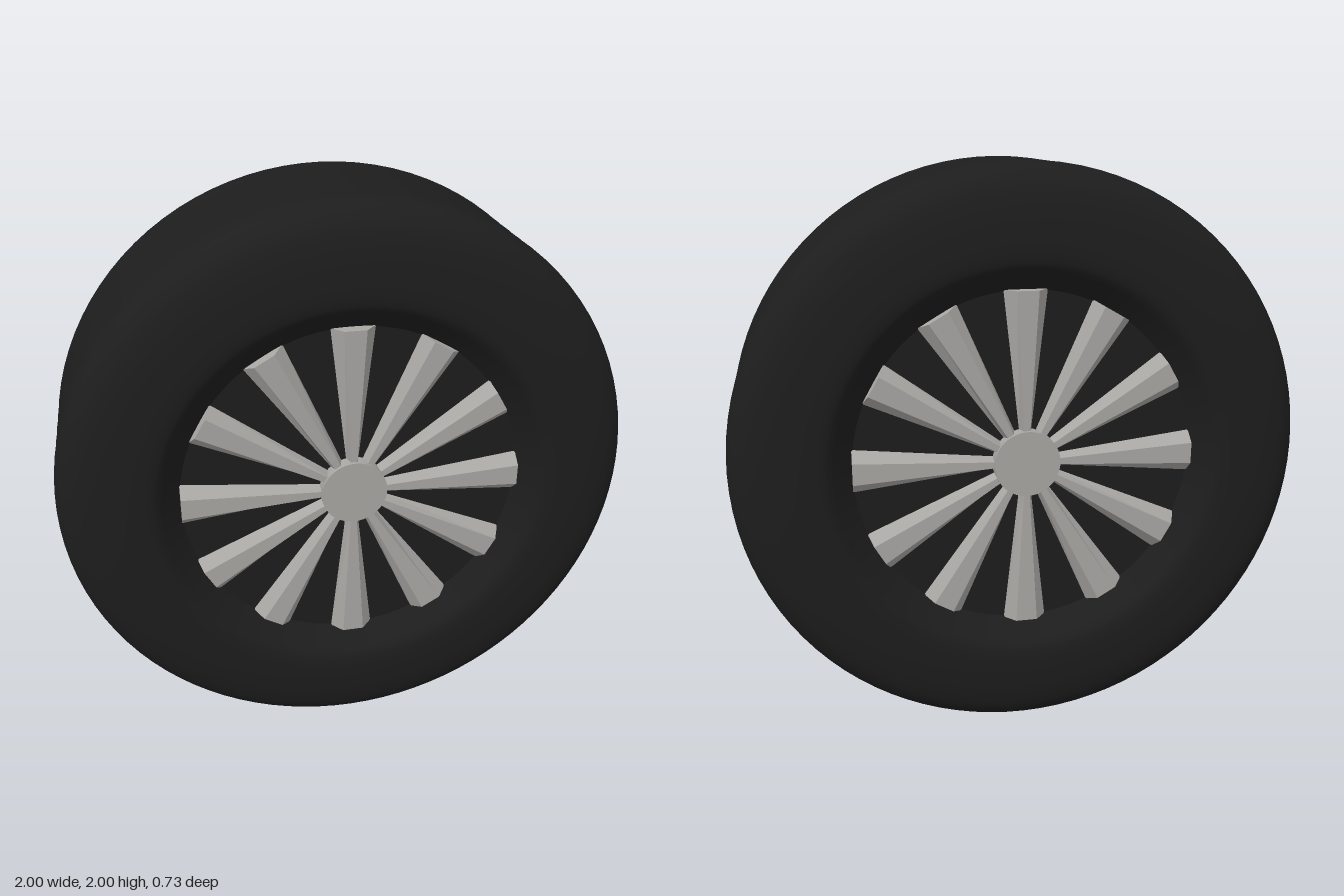
import * as THREE from 'three';

const rubber = new THREE.MeshStandardMaterial({ color: 0x1d1d1d });
rubber.name = 'black rubber';
const metal = new THREE.MeshStandardMaterial({ color: 0xa9a7a4, flatShading: true });
metal.name = 'grey metal';

const SPOKES = 12;
const SEGMENTS = 96;
const LIP_Z = 0.345; // where the tyre meets the rim
const DISC_Z = 0.28; // plane of the dark disc behind the spokes

function add(parent, name, geometry, material) {
  const mesh = new THREE.Mesh(geometry, material);
  mesh.name = name;
  parent.add(mesh);
  return mesh;
}

// Lathe around the z axis; points run from low z to high z on outer surfaces
function latheZ(points) {
  return new THREE.LatheGeometry(points, SEGMENTS).rotateX(Math.PI / 2);
}

// Tyre: rounded sidewalls and a tread with four shallow, softly shaded grooves
function tyreGeometry() {
  const half = [
    [0.66, LIP_Z], [0.685, 0.36], [0.73, 0.366], [0.8, 0.363], [0.87, 0.354], [0.93, 0.336],
    [0.97, 0.307], [0.99, 0.277], [1, 0.235], [1, 0.18], [1, 0.12], [1, 0.06],
  ];
  const section = [...half.map(([r, z]) => [r, -z]), [1, 0], ...[...half].reverse()];
  const curve = new THREE.SplineCurve(section.map(([r, z]) => new THREE.Vector2(r, z)));
  const geometry = latheZ(curve.getPoints(144));

  const pos = geometry.attributes.position;
  for (let i = 0; i < pos.count; i++) {
    const z = pos.getZ(i);
    if (Math.abs(z) > 0.22) continue;
    const k = 1 - 0.009 * Math.sin((Math.PI * z) / 0.11) ** 2;
    pos.setXY(i, pos.getX(i) * k, pos.getY(i) * k);
  }
  return geometry;
}

// Six-sided bar, wide at the rim and narrow at the hub, with a nearly level front
function spokeGeometry() {
  const geometry = new THREE.CylinderGeometry(0.075, 0.02, 0.492, 6).rotateY(Math.PI / 6);
  const pos = geometry.attributes.position;
  for (let i = 0; i < pos.count; i++) {
    const z = pos.getZ(i);
    const depth = pos.getY(i) > 0 ? 0.042 : 0.036;
    pos.setZ(i, Math.abs(z) < 0.001 ? 0 : Math.sign(z) * depth);
  }
  return geometry.translate(0, 0.346, DISC_Z);
}

// One face of the wheel, looking along +z
function wheelFace(name) {
  const face = new THREE.Group();
  face.name = name;

  const wall = [new THREE.Vector2(0.66, LIP_Z), new THREE.Vector2(0.592, DISC_Z)];
  add(face, 'rimWall', latheZ(wall), rubber);
  add(face, 'backingDisc', new THREE.CircleGeometry(0.592, SEGMENTS), rubber).position.z = DISC_Z;

  const hub = add(face, 'hub', new THREE.CylinderGeometry(0.115, 0.115, 0.05, 48).rotateX(Math.PI / 2), metal);
  hub.position.z = 0.303;

  const spoke = spokeGeometry();
  for (let i = 0; i < SPOKES; i++) {
    add(face, 'spoke', spoke, metal).rotation.z = (i / SPOKES) * Math.PI * 2;
  }
  return face;
}

export function createModel() {
  const model = new THREE.Group();
  model.name = 'wheel';

  const wheel = new THREE.Group();
  wheel.name = 'wheelAssembly';
  wheel.position.y = 1;
  model.add(wheel);

  add(wheel, 'tyre', tyreGeometry(), rubber);
  wheel.add(wheelFace('frontFace'));
  const back = wheelFace('backFace');
  back.rotation.y = Math.PI;
  wheel.add(back);

  return model;
}
